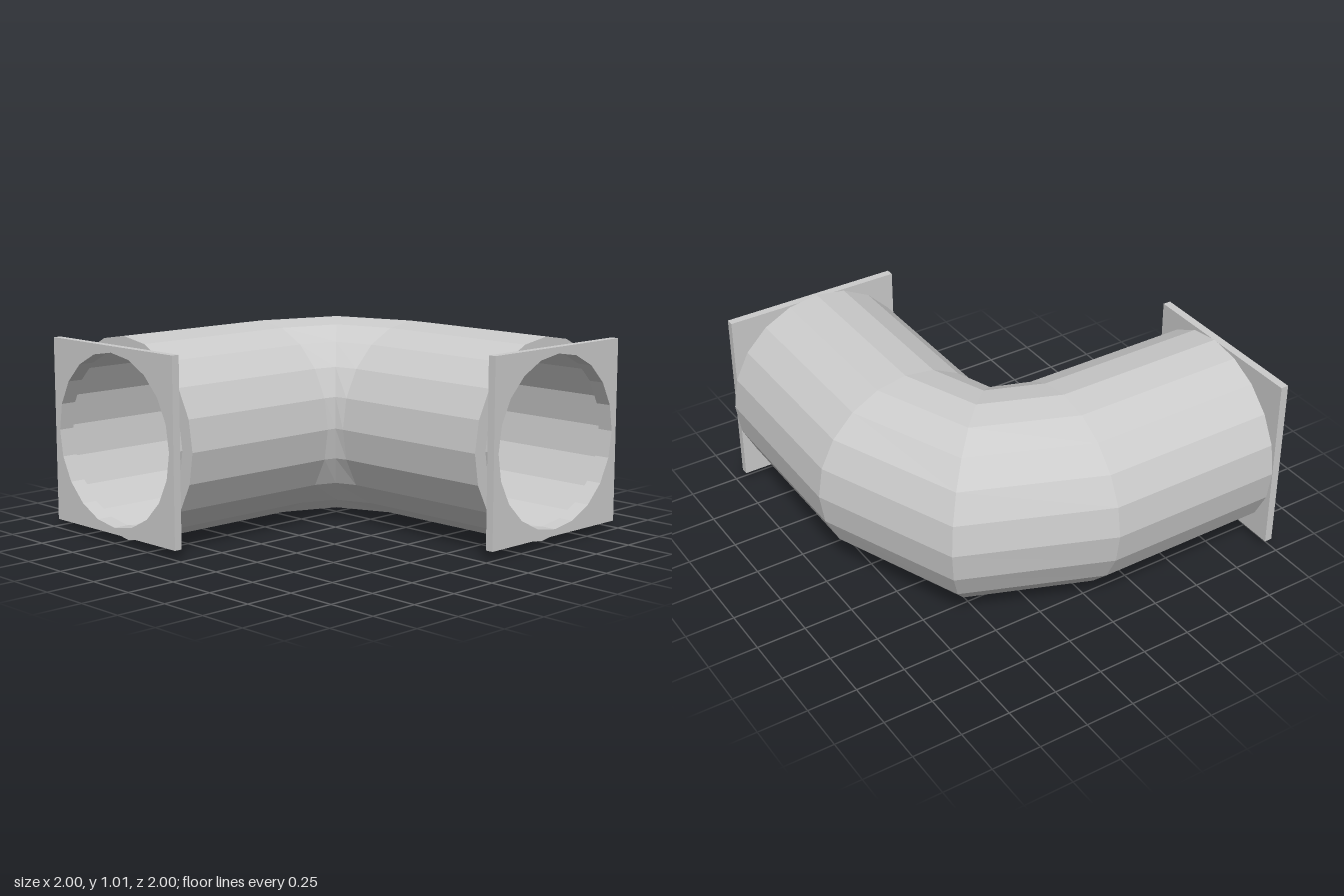
import * as THREE from 'three';

const SIDES = 20, MID_Y = 0.503, HOLE_R = 0.426;
const material = new THREE.MeshStandardMaterial({ color: 0xcccccc, flatShading: true, side: THREE.DoubleSide });

// Cross-section at (x, z); (ux, uz) points to the inside of the bend
const ring = (x, z, r, ux, uz) => Array.from({ length: SIDES }, (_, i) => {
  const a = (i / SIDES) * Math.PI * 2, c = r * Math.cos(a);
  return [x + c * ux, MID_Y + r * Math.sin(a), z + c * uz];
});

// Faceted skin through a row of cross-sections
function loft(name, rings) {
  const positions = [];
  for (let k = 0; k < rings.length - 1; k++) {
    const a = rings[k], b = rings[k + 1];
    for (let i = 0; i < SIDES; i++) {
      const j = (i + 1) % SIDES;
      positions.push(...a[i], ...b[i], ...a[j], ...a[j], ...b[i], ...b[j]);
    }
  }
  const geometry = new THREE.BufferGeometry();
  geometry.setAttribute('position', new THREE.Float32BufferAttribute(positions, 3));
  geometry.computeVertexNormals();
  const mesh = new THREE.Mesh(geometry, material);
  mesh.name = name;
  return mesh;
}

// Square plate with a round, faceted opening
function flangeGeometry() {
  const h = 0.458;
  const shape = new THREE.Shape([[-h, -h], [h, -h], [h, h], [-h, h]].map(p => new THREE.Vector2(...p)));
  const hole = Array.from({ length: SIDES }, (_, i) => {
    const a = -(i / SIDES) * Math.PI * 2;
    return new THREE.Vector2(HOLE_R * Math.cos(a), HOLE_R * Math.sin(a));
  });
  shape.holes.push(new THREE.Path(hole));
  return new THREE.ExtrudeGeometry(shape, { depth: 0.04, bevelEnabled: false });
}

export function createModel() {
  const group = new THREE.Group();
  group.name = 'pipeElbow';
  const d = Math.SQRT1_2;

  // Elbow body: straight arm, two mitred bend segments, straight arm
  group.add(loft('elbowPipe', [
    ring(-0.5, 0.92, 0.499, 1, 0),
    ring(-0.5, 0.035, 0.5, 1, 0.035),
    ring(-0.352, -0.352, 0.503, d, d),
    ring(0.035, -0.5, 0.5, 0.035, 1),
    ring(0.92, -0.5, 0.499, 0, 1),
  ]));

  // Stepped necks joining the pipe ends to the flanges
  const neck = [[0.92, 0.499], [0.92, HOLE_R], [0.96, HOLE_R]];
  group.add(loft('frontNeck', neck.map(([t, r]) => ring(-0.5, t, r, 1, 0)).reverse()));
  group.add(loft('sideNeck', neck.map(([t, r]) => ring(t, -0.5, r, 0, 1))));

  // Flanges
  const geometry = flangeGeometry();
  const frontFlange = new THREE.Mesh(geometry, material);
  frontFlange.name = 'frontFlange';
  frontFlange.position.set(-0.5, MID_Y, 0.96);
  const sideFlange = new THREE.Mesh(geometry, material);
  sideFlange.name = 'sideFlange';
  sideFlange.position.set(0.96, MID_Y, -0.5);
  sideFlange.rotation.y = Math.PI / 2;
  group.add(frontFlange, sideFlange);
  return group;
}
